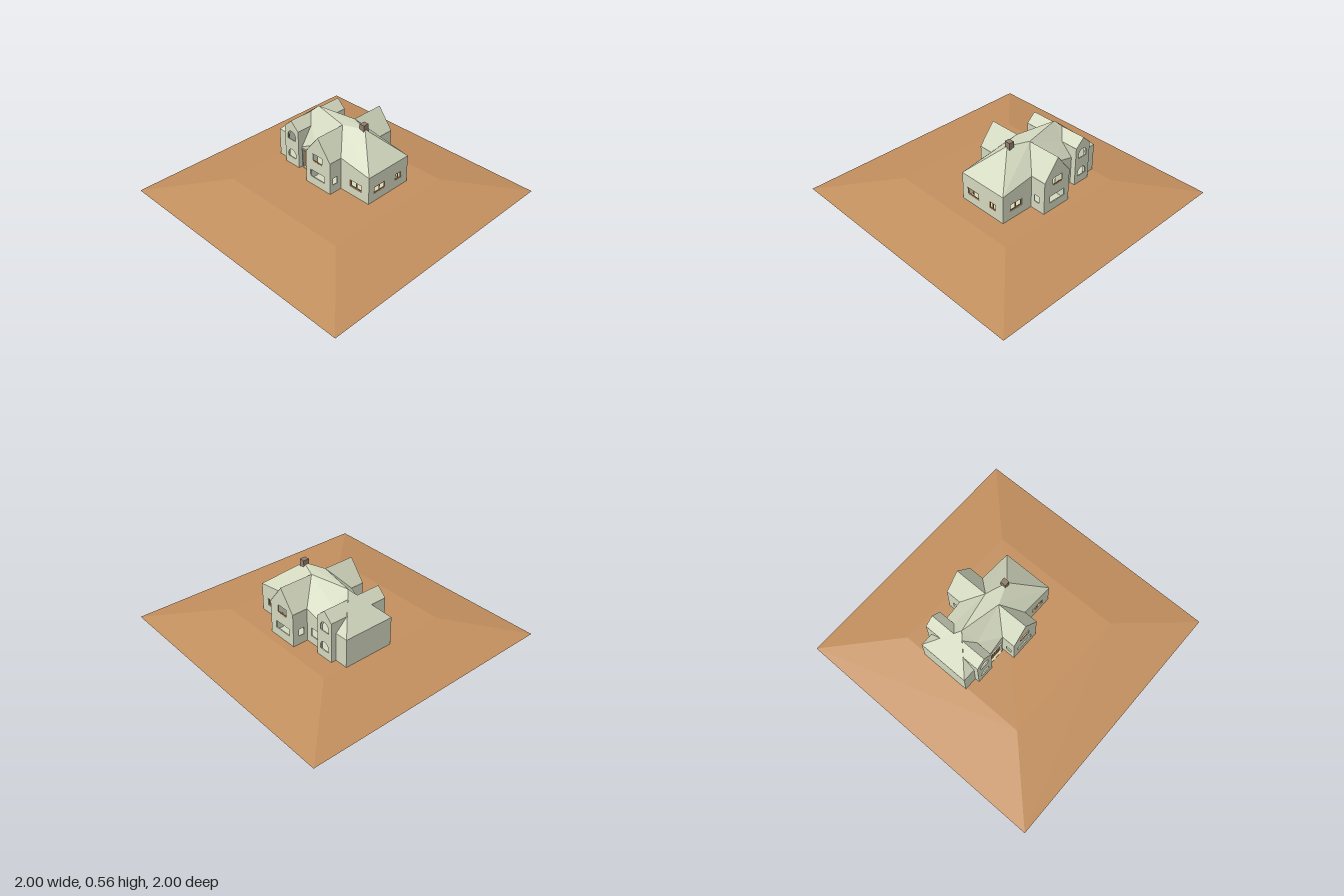
import * as THREE from 'three';

const GROUND = 0.105, T = 0.008;   // ground level, wall thickness
const ZF = 0.055, ZB = -0.34;      // main front and back wall planes

export function createModel() {
  const mat = (name, color, side = THREE.FrontSide) => {
    const m = new THREE.MeshStandardMaterial({ color, side });
    m.name = name;
    return m;
  };
  const plaster = mat('plaster', 0xd2d7be, THREE.DoubleSide);
  const earth = mat('earth', 0xc28f5e, THREE.DoubleSide);
  const wood = mat('orangeWood', 0xc07c3e);
  const stone = mat('chimneyStone', 0x8f7d6c);
  const dark = mat('darkFurniture', 0x3f3a33);

  const model = new THREE.Group();
  const house = new THREE.Group();
  house.name = 'house';
  model.add(house);

  const add = (name, geo, m, parent = house) => {
    const mesh = new THREE.Mesh(geo, m);
    mesh.name = name;
    parent.add(mesh);
    return mesh;
  };
  const box = (name, m, x0, x1, y0, y1, z0, z1) =>
    add(name, new THREE.BoxGeometry(x1 - x0, y1 - y0, z1 - z0), m)
      .position.set((x0 + x1) / 2, (y0 + y1) / 2, (z0 + z1) / 2);

  // flat polygon, filled as a fan from its first corner
  const panel = (name, m, pts, parent) => {
    const v = [];
    for (let i = 1; i < pts.length - 1; i++) v.push(...pts[0], ...pts[i], ...pts[i + 1]);
    const geo = new THREE.BufferGeometry();
    geo.setAttribute('position', new THREE.Float32BufferAttribute(v, 3));
    geo.computeVertexNormals();
    add(name, geo, m, parent);
  };

  // window outline: u0, u1, y0, y1, arched top or not
  const opening = ([u0, u1, y0, y1, arch]) => {
    const p = new THREE.Path();
    const r = (u1 - u0) / 2;
    p.moveTo(u0, y0);
    p.lineTo(u1, y0);
    if (arch) p.absarc((u0 + u1) / 2, y1 - r, r, 0, Math.PI, false);
    else { p.lineTo(u1, y1); p.lineTo(u0, y1); }
    p.closePath();
    return p;
  };
  // upright slab: axis 'z' faces front/back with u = x, axis 'x' faces the sides with u = z
  const wall = (name, axis, at, pts, holes = [], m = plaster, depth = T) => {
    const shape = new THREE.Shape(pts.map(([u, y]) => new THREE.Vector2(u, y)));
    holes.forEach(h => shape.holes.push(opening(h)));
    const geo = new THREE.ExtrudeGeometry(shape, { depth, bevelEnabled: false, curveSegments: 10 });
    geo.translate(0, 0, -depth / 2);
    if (axis === 'x') geo.rotateY(-Math.PI / 2);
    const mesh = add(name, geo, m);
    mesh.position[axis] = at;
  };
  const rect = (u0, u1, y0, y1) => [[u0, y0], [u1, y0], [u1, y1], [u0, y1]];
  // wooden window frame with a centre post
  const frame = (axis, at, [u0, u1, y0, y1]) => {
    const c = (u0 + u1) / 2, b = 0.007;
    wall('windowFrame', axis, at, rect(u0, u1, y0, y1),
      [[u0 + b, c - b / 2, y0 + b, y1 - b], [c + b / 2, u1 - b, y0 + b, y1 - b]], wood, 0.006);
  };

  // sloping ground, open underneath
  const corners = [[-1, 1], [1, 1], [1, -1], [-1, -1]];
  const ground = new THREE.Group();
  ground.name = 'ground';
  model.add(ground);
  const S = 0.52;
  corners.forEach(([x, z], i) => {
    const [x2, z2] = corners[(i + 1) % 4];
    panel('groundSlope', earth,
      [[x, 0, z], [x2, 0, z2], [x2 * S, GROUND, z2 * S], [x * S, GROUND, z * S]], ground);
  });
  panel('groundTop', earth, corners.map(([x, z]) => [x * S, GROUND, z * S]), ground);

  // floor slabs
  box('mainFloor', plaster, -0.53, 0.37, 0.102, 0.108, ZB, ZF);
  box('centreFloor', plaster, -0.135, 0.105, 0.102, 0.108, -0.46, 0.16);
  box('smallWingFloor', plaster, -0.43, -0.29, 0.102, 0.108, -0.38, 0.09);

  // main end walls
  const e = T / 2;
  const endWins = [[-0.11, 0.005, 0.17, 0.225], [-0.275, -0.21, 0.17, 0.225]];
  wall('rightEndWall', 'x', 0.37 - e, rect(ZB, ZF, GROUND, 0.32), endWins);
  endWins.forEach(w => frame('x', 0.37 - e, w));
  wall('leftEndWall', 'x', -0.53 + e, rect(ZB, ZF, GROUND, 0.32));

  // walls and roof faces repeated on the front and the back
  const sides = [
    { s: 1, main: ZF, centre: 0.16, small: 0.09, valley: -0.08, tag: 'front' },
    { s: -1, main: ZB, centre: -0.46, small: -0.38, valley: -0.2, tag: 'back' },
  ];
  const RIDGE = -0.1425;
  for (const { s, main, centre, small, valley, tag } of sides) {
    const inset = -s * e;
    const flip = z => RIDGE + s * (z - RIDGE);
    const eave = s > 0 ? 0.27 : 0.32;

    // main walls
    const win = [0.195, 0.305, 0.17, 0.225];
    wall(tag + 'RightWall', 'z', main + inset,
      [[0.105, GROUND], [0.37, GROUND], [0.37, 0.32], [0.105, 0.36]], [win]);
    frame('z', main + inset * 2, win);
    wall(tag + 'LeftWall', 'z', main + inset, rect(-0.53, -0.43, GROUND, 0.32));
    const entry = s > 0 ? [-0.27, -0.155, 0.112, 0.255] : [-0.24, -0.18, 0.165, 0.23];
    wall(tag + 'EntryWall', 'z', main + inset,
      [[-0.29, GROUND], [-0.135, GROUND], [-0.135, 0.36], [-0.29, eave]], [entry]);

    // centre gable
    wall(tag + 'CentreGable', 'z', centre + inset,
      [[-0.135, GROUND], [0.105, GROUND], [0.105, 0.357], [-0.015, 0.512], [-0.135, 0.357]],
      [[-0.09, 0.05, 0.17, 0.225], [-0.065, 0.025, 0.305, 0.365]]);
    box(tag + 'GableSill', wood, -0.065, 0.025, 0.305, 0.312, centre + inset - 0.003, centre + inset + 0.003);
    const z0 = Math.min(main, centre), z1 = Math.max(main, centre);
    const zc = s > 0 ? 0.11 : -0.39;
    for (const x of [-0.135, 0.105]) {
      wall(tag + 'CentreSideWall', 'x', x + (x < 0 ? e : -e), rect(z0, z1, GROUND, 0.358),
        [[zc - 0.021, zc + 0.021, 0.17, 0.225]]);
      panel(tag + 'CentreRoof', plaster,
        [[-0.015, 0.515, centre], [-0.015, 0.515, valley], [x, 0.36, main], [x, 0.36, centre]]);
    }

    // small gable with arched windows
    wall(tag + 'SmallGable', 'z', small + inset,
      [[-0.43, GROUND], [-0.29, GROUND], [-0.29, 0.408], [-0.36, 0.473], [-0.43, 0.408]],
      [[-0.4, -0.32, 0.165, 0.23, true], [-0.4, -0.32, 0.315, 0.385, true]]);
    for (const x of [-0.43, -0.29]) {
      wall(tag + 'SmallSideWall', 'x', x + (x < -0.4 ? e : -e),
        [[main, GROUND], [small, GROUND], [small, 0.409], [flip(-0.037), 0.409], [main, x < -0.4 ? 0.32 : eave]]);
      panel(tag + 'SmallRoof', plaster,
        [[-0.36, 0.475, small], [-0.36, 0.475, flip(-0.104)], [x, 0.41, flip(-0.037)], [x, 0.41, small]]);
    }

    // main roof slopes
    panel(tag + 'LeftCornerRoof', plaster,
      [[-0.53, 0.32, main], [-0.43, 0.32, main], [-0.43, 0.415, flip(-0.04)]]);
    panel(tag + 'UpperRoof', plaster, [[-0.32, 0.52, RIDGE], [-0.36, 0.475, flip(-0.104)],
      [-0.29, 0.41, flip(-0.037)], [-0.015, 0.515, valley], [-0.015, 0.518, RIDGE]]);
    panel(tag + 'LowerRoof', plaster, [[-0.29, 0.41, flip(-0.037)], [-0.29, eave, main],
      [-0.135, 0.36, main], [-0.015, 0.515, valley]]);
    panel(tag + 'RightRoof', plaster, [[0.37, 0.32, main], [0.14, 0.52, RIDGE],
      [-0.015, 0.515, valley], [0.105, 0.36, main]]);
    panel(tag + 'RidgeRoof', plaster,
      [[-0.015, 0.518, RIDGE], [-0.015, 0.515, valley], [0.14, 0.52, RIDGE]]);
  }

  // hipped ends
  panel('leftHip', plaster, [[-0.53, 0.32, ZB], [-0.53, 0.32, ZF], [-0.32, 0.52, RIDGE]]);
  panel('rightHip', plaster, [[0.37, 0.32, ZF], [0.37, 0.32, ZB], [0.14, 0.52, RIDGE]]);

  // entrance: surround, arched wooden door frame and glazing bars
  wall('doorSurround', 'z', 0.058, rect(-0.278, -0.147, GROUND, 0.264),
    [[-0.27, -0.155, 0.112, 0.255]], plaster, 0.012);
  wall('doorFrame', 'z', 0.045, rect(-0.27, -0.155, 0.112, 0.24),
    [[-0.25, -0.175, 0.145, 0.22, true]], wood, 0.006);
  for (const x of [-0.232, -0.212, -0.192]) box('doorBar', wood, x - 0.003, x + 0.003, 0.145, 0.218, 0.043, 0.047);

  // chimney and interior
  box('chimney', stone, 0.105, 0.145, GROUND, 0.555, -0.17, -0.125);
  box('leftPartition', plaster, -0.52, -0.29, GROUND, 0.3, RIDGE - e, RIDGE + e);
  box('tableTop', dark, -0.06, 0.04, 0.17, 0.185, -0.2, -0.09);
  box('tableCentre', dark, -0.04, 0, GROUND, 0.2, -0.17, -0.12);

  return model;
}
